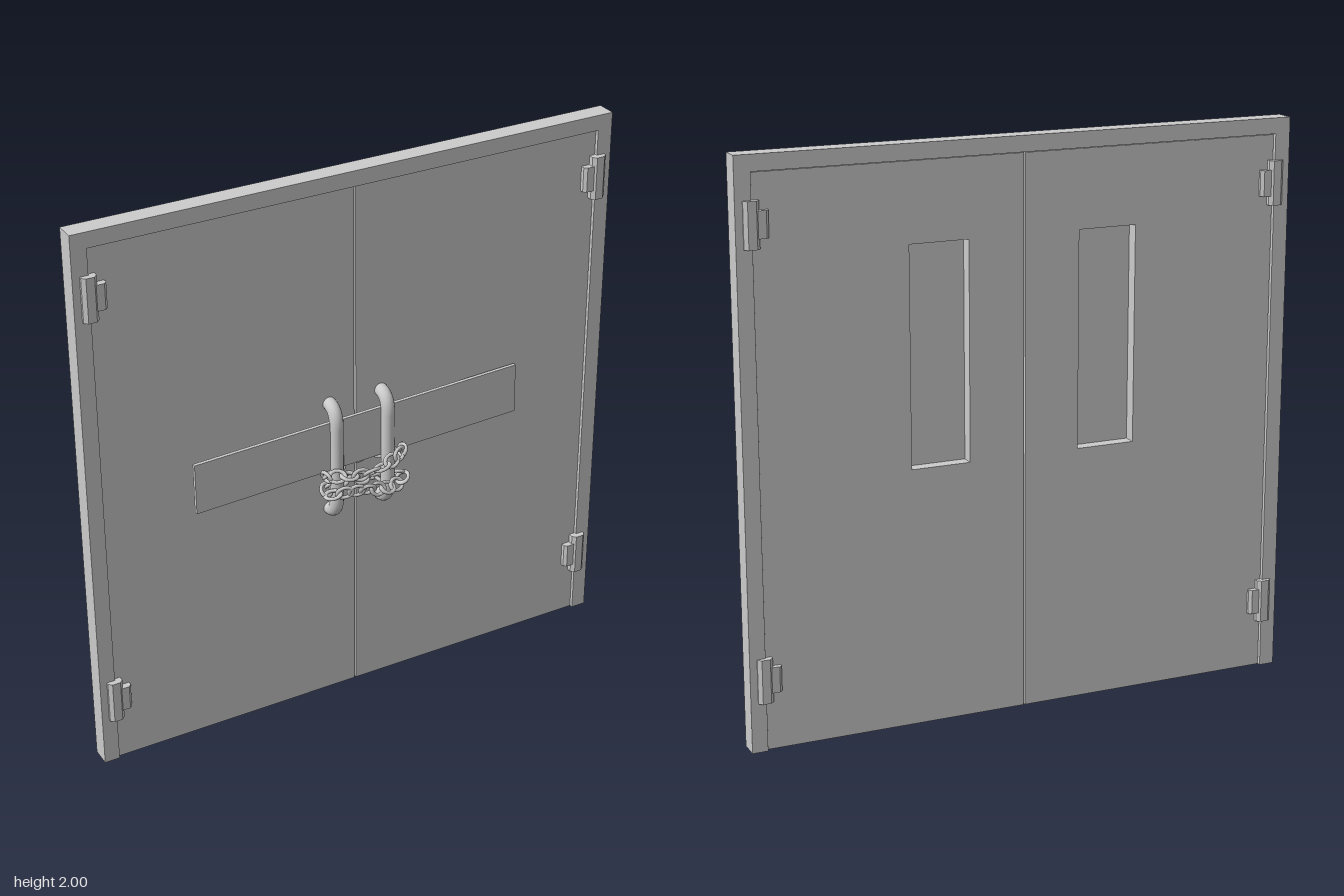
import * as THREE from 'three';

const mat = new THREE.MeshStandardMaterial({ color: 0xcccccc });

function add(parent, name, geometry, x = 0, y = 0, z = 0) {
  const mesh = new THREE.Mesh(geometry, mat);
  mesh.name = name;
  mesh.position.set(x, y, z);
  parent.add(mesh);
  return mesh;
}

function rect(Type, x0, y0, x1, y1) {
  return new Type([[x0, y0], [x1, y0], [x1, y1], [x0, y1]].map(p => new THREE.Vector2(...p)));
}

// Upright block with chamfered vertical edges, centred on its own origin
function chamferedBlock(w, h, d, c) {
  const a = w / 2, b = d / 2;
  const shape = new THREE.Shape([
    [-a + c, -b], [a - c, -b], [a, -b + c], [a, b - c],
    [a - c, b], [-a + c, b], [-a, b - c], [-a, -b + c],
  ].map(p => new THREE.Vector2(...p)));
  const g = new THREE.ExtrudeGeometry(shape, { depth: h, bevelEnabled: false });
  return g.translate(0, 0, -h / 2).rotateX(-Math.PI / 2);
}

// Door leaf with a window recess open to the back
function makeDoor(side) {
  const door = new THREE.Group();
  door.name = side > 0 ? 'leftDoor' : 'rightDoor';
  const xs = (a, b) => (side > 0 ? [a, b] : [-b, -a]);
  const [x0, x1] = xs(0.003, 0.937);
  const [w0, w1] = xs(0.2, 0.41);
  const shape = rect(THREE.Shape, x0, 0.002, x1, 1.942);
  shape.holes.push(rect(THREE.Path, w0, 0.91, w1, 1.67));
  add(door, 'doorPanel', new THREE.ExtrudeGeometry(shape, { depth: 0.053, bevelEnabled: false }), 0, 0, -0.083);
  add(door, 'windowCover', new THREE.BoxGeometry(w1 - w0, 0.76, 0.008), (w0 + w1) / 2, 1.29, -0.034);
  return door;
}

function makeHinge(side, y) {
  const hinge = new THREE.Group();
  hinge.name = 'hinge';
  add(hinge, 'hingeBarrel', chamferedBlock(0.053, 0.155, 0.108, 0.012));
  add(hinge, 'hingeLeaf', chamferedBlock(0.05, 0.09, 0.096, 0.01), -side * 0.033);
  hinge.position.set(side * 0.943, y, -0.054);
  return hinge;
}

// Pull handle bent back into the door at both ends
function makeHandle(x) {
  const v = (y, z) => new THREE.Vector3(x, y, z);
  const path = new THREE.CurvePath();
  path.add(new THREE.LineCurve3(v(0.76, -0.045), v(0.76, -0.025)));
  path.add(new THREE.QuadraticBezierCurve3(v(0.76, -0.025), v(0.765, 0.021), v(0.83, 0.021)));
  path.add(new THREE.LineCurve3(v(0.83, 0.021), v(1.1, 0.021)));
  path.add(new THREE.QuadraticBezierCurve3(v(1.1, 0.021), v(1.165, 0.021), v(1.17, -0.025)));
  path.add(new THREE.LineCurve3(v(1.17, -0.025), v(1.17, -0.045)));
  return new THREE.TubeGeometry(path, 48, 0.024, 16);
}

// Ring of interlocked links wrapped round both handles
function makeChain(y, tilt, phase) {
  const chain = new THREE.Group();
  chain.name = 'chain';
  const points = [];
  for (let i = 0; i < 24; i++) {
    const a = (i / 24) * Math.PI * 2;
    const x = 0.148 * Math.cos(a);
    points.push(new THREE.Vector3(x, y + tilt * x + 0.008 * Math.sin(3 * a + phase), 0.036 + 0.05 * Math.sin(a)));
  }
  const curve = new THREE.CatmullRomCurve3(points, true);
  const link = new THREE.TorusGeometry(0.021, 0.0065, 8, 14).scale(1.3, 1, 1);
  const count = 16;
  for (let i = 0; i < count; i++) {
    const t = (i + phase * 0.2) / count % 1;
    const mesh = add(chain, 'chainLink', link);
    mesh.position.copy(curve.getPointAt(t));
    mesh.quaternion.setFromUnitVectors(new THREE.Vector3(1, 0, 0), curve.getTangentAt(t));
    mesh.rotateX((i % 2 ? 1 : -1) * Math.PI / 4);
  }
  return chain;
}

export function createModel() {
  const model = new THREE.Group();
  model.name = 'chainedDoubleDoors';

  // Frame: two jambs and a head in one arch
  const arch = new THREE.Shape([
    [-0.995, 0], [-0.94, 0], [-0.94, 1.945], [0.94, 1.945],
    [0.94, 0], [0.995, 0], [0.995, 2], [-0.995, 2],
  ].map(p => new THREE.Vector2(...p)));
  add(model, 'doorFrame', new THREE.ExtrudeGeometry(arch, { depth: 0.071, bevelEnabled: false }), 0, 0, -0.092);

  for (const side of [-1, 1]) {
    model.add(makeDoor(side));
    for (const y of [0.252, 1.777]) model.add(makeHinge(side, y));
    add(model, 'handle', makeHandle(side * 0.1));
  }

  // Plank wedged behind the handles
  const plank = add(model, 'plank', new THREE.BoxGeometry(1.274, 0.185, 0.013), -0.002, 1.033, 0.009);
  plank.rotation.set(0, 0.04, 0.01);

  model.add(makeChain(0.94, 0.08, 0), makeChain(0.86, -0.08, 2));
  return model;
}
